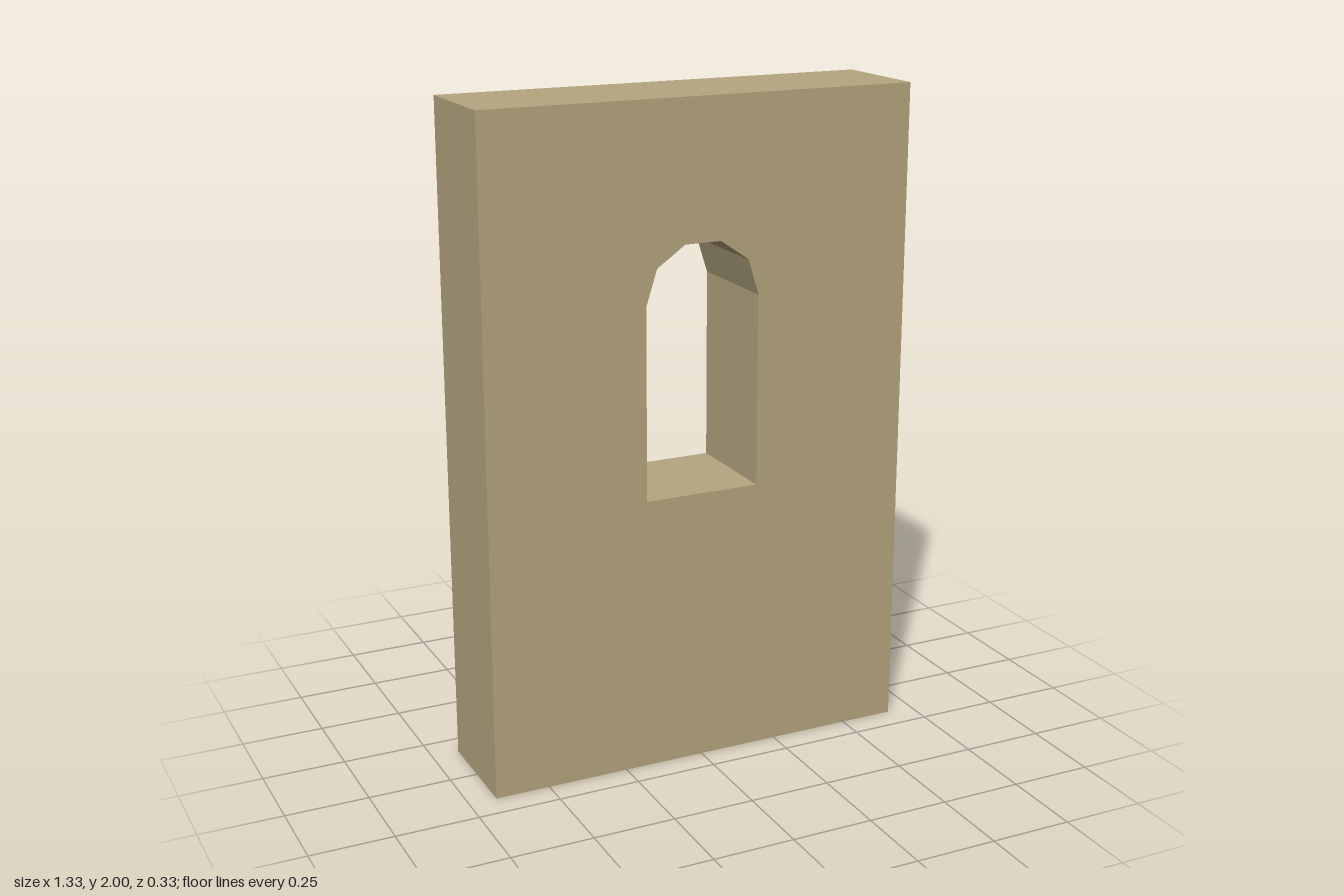
import * as THREE from 'three';

const WIDTH = 1.333, HEIGHT = 2, DEPTH = 0.333;

// Right half of the window outline, from sill to crown
const HALF_WINDOW = [[0.178, 0.842], [0.178, 1.42], [0.144, 1.527], [0.056, 1.588]];

export function createModel() {
  const group = new THREE.Group();
  group.name = 'windowWall';
  const stone = new THREE.MeshStandardMaterial({ color: 0xb5a67f });
  stone.name = 'sandstone';

  // Wall outline
  const w = WIDTH / 2;
  const outline = new THREE.Shape([[-w, 0], [w, 0], [w, HEIGHT], [-w, HEIGHT]]
    .map(([x, y]) => new THREE.Vector2(x, y)));

  // Faceted arched opening, mirrored about the centre line
  const mirrored = HALF_WINDOW.map(([x, y]) => [-x, y]).reverse();
  outline.holes.push(new THREE.Path([...HALF_WINDOW, ...mirrored]
    .map(([x, y]) => new THREE.Vector2(x, y))));

  // Solid wall, centred in depth
  const geometry = new THREE.ExtrudeGeometry(outline, { depth: DEPTH, bevelEnabled: false });
  geometry.translate(0, 0, -DEPTH / 2);
  const wall = new THREE.Mesh(geometry, stone);
  wall.name = 'wallWithArchedWindow';
  group.add(wall);
  return group;
}
